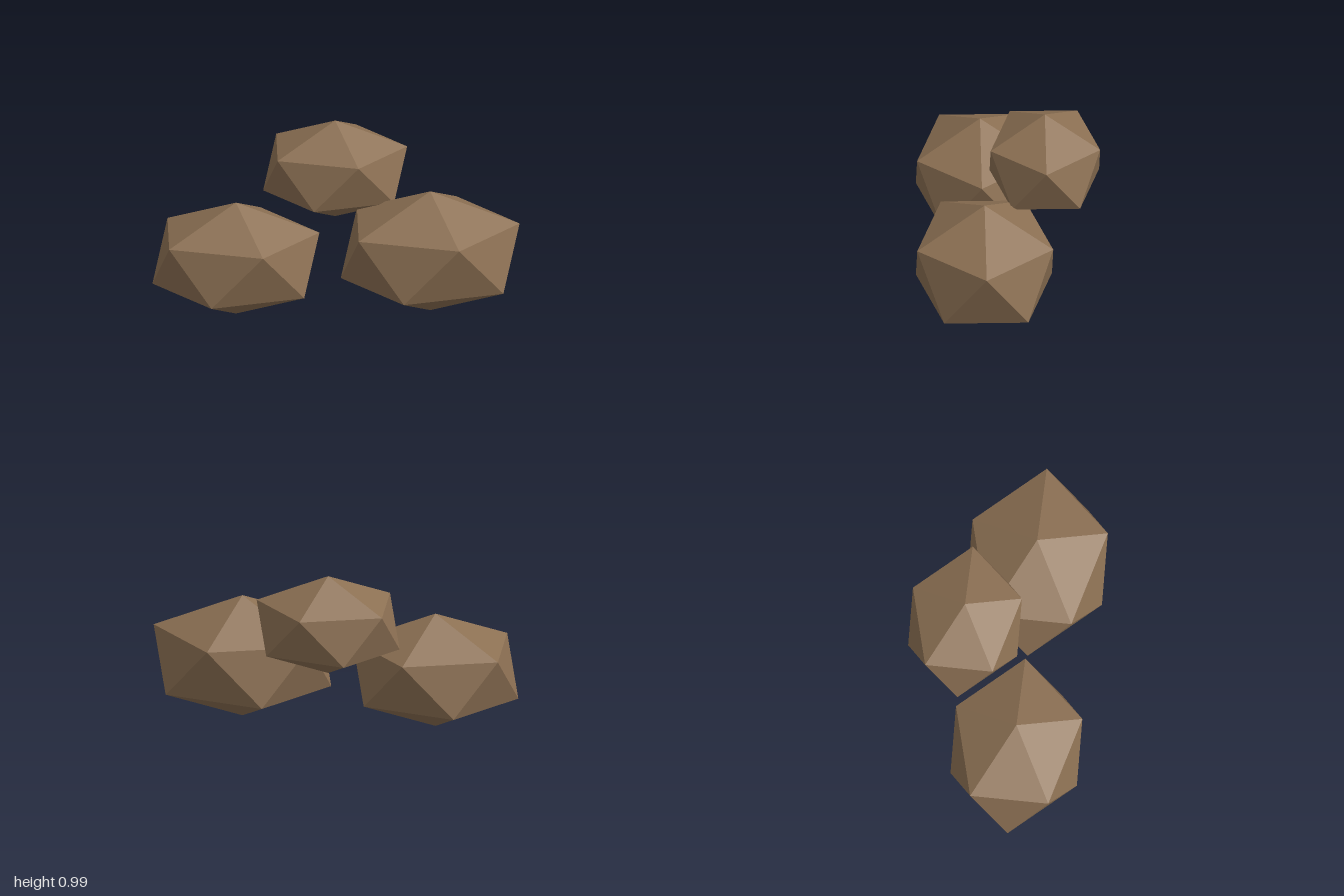
import * as THREE from 'three';

// Icosahedron stood on a corner, with one upper-ring corner pointing to +x
function facetedStone() {
  const golden = (1 + Math.sqrt(5)) / 2;
  const geometry = new THREE.IcosahedronGeometry(1, 0);
  geometry.rotateZ(-Math.atan(1 / golden));
  geometry.scale(1, 0.65, 0.8); // flattened boulder
  geometry.computeVertexNormals();
  return geometry;
}

export function createModel() {
  const group = new THREE.Group();
  group.name = 'rockPile';

  const stone = new THREE.MeshStandardMaterial({ color: 0x8c7053, flatShading: true });
  stone.name = 'brown stone';

  const geometry = facetedStone();
  const rocks = [
    { name: 'rightRock', radius: 0.508, position: [-0.545, 0.332, 0.135] },
    { name: 'leftRock', radius: 0.544, position: [0.512, 0.366, 0.135] },
    { name: 'backRock', radius: 0.438, position: [0.002, 0.71, -0.205] },
  ];
  for (const { name, radius, position } of rocks) {
    const rock = new THREE.Mesh(geometry, stone);
    rock.name = name;
    rock.scale.setScalar(radius);
    rock.position.set(...position);
    group.add(rock);
  }
  return group;
}
